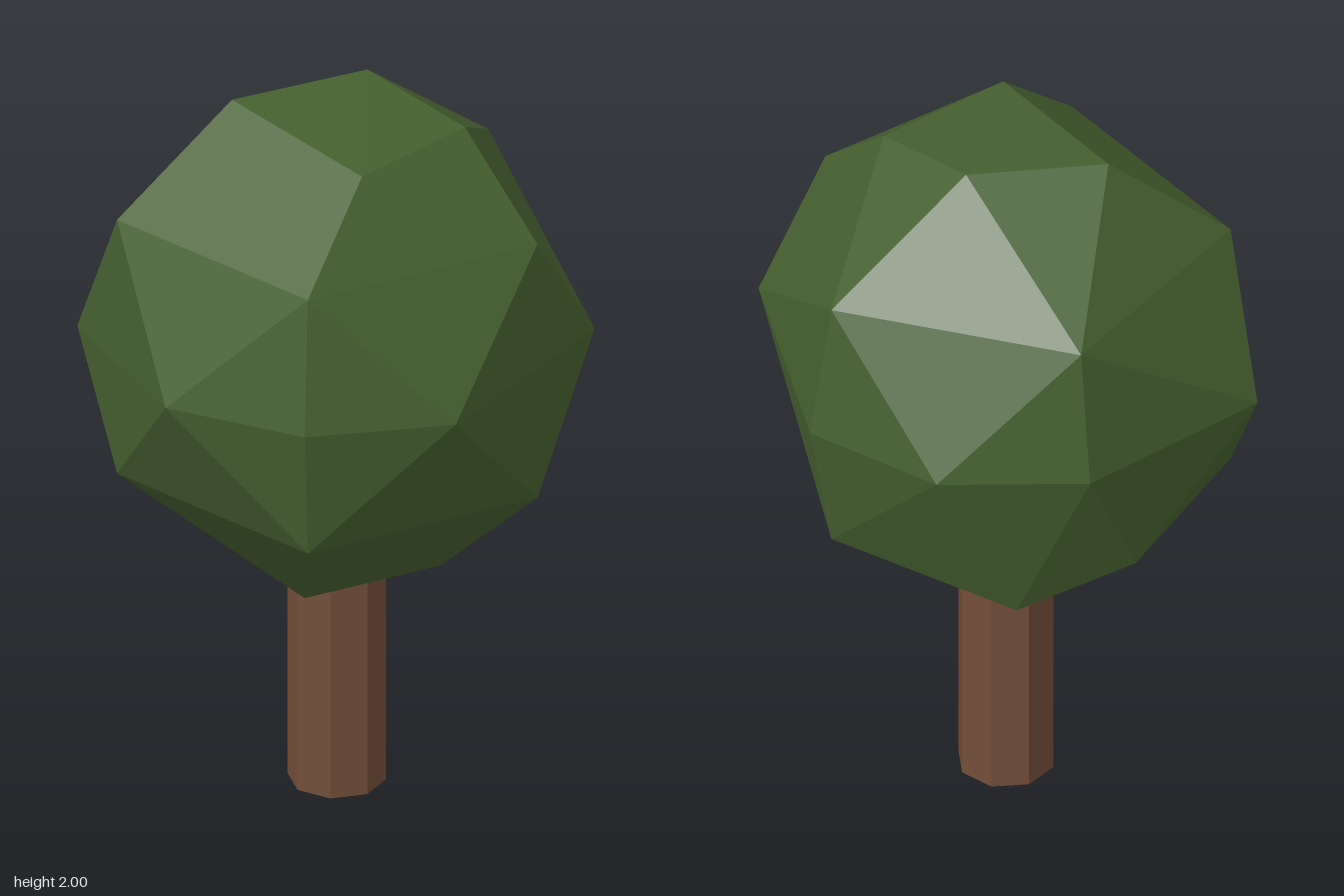
import * as THREE from 'three';
import { ConvexGeometry } from 'three/addons/geometries/ConvexGeometry.js';

export function createModel() {
  const tree = new THREE.Group();
  tree.name = 'tree';

  const leafGreen = new THREE.MeshStandardMaterial({ color: 0x466030, flatShading: true });
  leafGreen.name = 'leaf green';
  const barkBrown = new THREE.MeshStandardMaterial({ color: 0x724e39, flatShading: true });
  barkBrown.name = 'bark brown';

  // Trunk: eight-sided post reaching into the crown
  const trunkHeight = 0.95;
  const trunk = new THREE.Mesh(new THREE.CylinderGeometry(0.13, 0.13, trunkHeight, 8), barkBrown);
  trunk.name = 'trunk';
  trunk.position.set(0, trunkHeight / 2, -0.02);
  tree.add(trunk);

  // Crown: faceted hull over a few uneven rings of points
  const points = [];
  const add = (x, y, z) => points.push(new THREE.Vector3(x, y, z));
  const mirrored = (x, y, z) => { add(x, y, z); add(-x, y, z); };

  // top cap
  add(-0.275, 1.98, 0);
  add(0.06, 2, -0.18);
  add(0.34, 1.94, 0);
  add(0.11, 1.94, 0.32);

  // upper ring
  mirrored(0.555, 1.7, 0.18);
  mirrored(0.342, 1.7, -0.465);
  add(0, 1.7, 0.577);

  // widest ring
  for (const side of [1, -1]) {
    mirrored(0.383, 1.33, 0.521 * side);
    add(0, 1.33, 0.643 * side);
    add(0.683 * side, 1.33 + 0.04 * side, 0);
  }

  // lower ring
  mirrored(0.555, 0.955, 0.18);
  add(0, 0.955, 0.577);
  add(0.342, 0.955, -0.465);
  add(-0.45, 0.95, -0.327);
  add(-0.165, 0.83, -0.463);

  // underside
  add(-0.345, 0.72, 0);
  add(-0.06, 0.62, 0.18);
  add(0.275, 0.647, 0);

  const crown = new THREE.Mesh(new ConvexGeometry(points), leafGreen);
  crown.name = 'crown';
  tree.add(crown);

  return tree;
}
